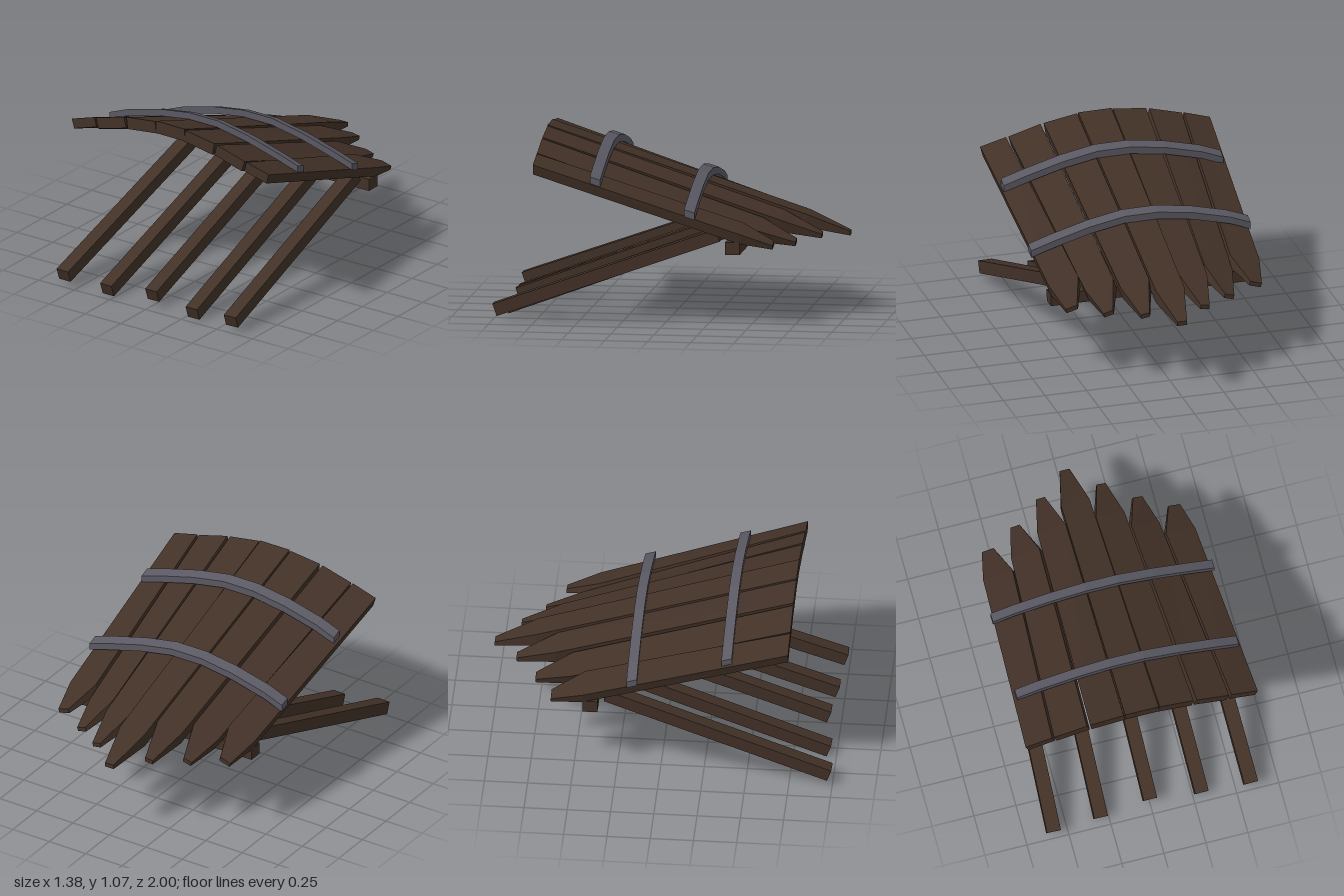
import * as THREE from 'three';

const wood = new THREE.MeshStandardMaterial({ color: 0x423127 });
wood.name = 'dark wood';
const metal = new THREE.MeshStandardMaterial({ color: 0x5a5963 });
metal.name = 'grey metal';

// Joins four-cornered cross-sections into a closed, hard-edged solid
function loft(name, sections, material) {
  const pos = [];
  const quad = (a, b, c, d) => [a, b, c, a, c, d].forEach(p => pos.push(...p));
  for (let s = 0; s < sections.length - 1; s++) {
    const a = sections[s], b = sections[s + 1];
    for (let i = 0; i < 4; i++) {
      const j = (i + 1) % 4;
      quad(a[i], a[j], b[j], b[i]);
    }
  }
  const first = sections[0], last = sections[sections.length - 1];
  quad(first[0], first[3], first[2], first[1]);
  quad(last[0], last[1], last[2], last[3]);
  const geo = new THREE.BufferGeometry();
  geo.setAttribute('position', new THREE.Float32BufferAttribute(pos, 3));
  geo.computeVertexNormals();
  const mesh = new THREE.Mesh(geo, material);
  mesh.name = name;
  return mesh;
}

// Square beam between two points
function beam(name, from, to, width, height) {
  const a = new THREE.Vector3(...from), b = new THREE.Vector3(...to);
  const mesh = new THREE.Mesh(new THREE.BoxGeometry(width, height, a.distanceTo(b)), wood);
  mesh.position.copy(a).add(b).multiplyScalar(0.5);
  mesh.lookAt(a);
  mesh.name = name;
  return mesh;
}

const FRONT = 0.75;

// One plank cross-section, with thickness t square to its sideways tilt
function plankSection(x0, y0, x1, y1, z, t) {
  const len = Math.hypot(x1 - x0, y1 - y0);
  const dx = (y1 - y0) / len * t, dy = -(x1 - x0) / len * t;
  return [[x0, y0, z], [x1, y1, z], [x1 + dx, y1 + dy, z], [x0 + dx, y0 + dy, z]];
}

// Plank with a tapering pointed end
function plank(front, shoulder, tip, slope, t) {
  const [x0, y0, x1, y1] = front;
  const [sx0, sx1, sz] = shoulder;
  const [tx0, tx1, tz] = tip;
  const drop = slope * (FRONT - sz);
  const tipY = (y0 + y1) / 2 - drop - 0.42 * (sz - tz);
  const roll = (y1 - y0) / (x1 - x0) * (tx1 - tx0) / 2;
  return loft('plank', [
    plankSection(x0, y0, x1, y1, FRONT, t),
    plankSection(sx0, y0 - drop, sx1, y1 - drop, sz, t),
    plankSection(tx0, tipY - roll, tx1, tipY + roll, tz, 0.025),
  ], wood);
}

export function createModel() {
  const group = new THREE.Group();

  // Arched deck of seven planks
  const deck = new THREE.Group();
  deck.name = 'plankDeck';
  deck.add(plank([-0.1, 1.07, 0.1, 1.067], [-0.085, 0.085, -0.757], [-0.029, 0.029, -1], 0.325, 0.076));
  // Per pair: left and right front edges, then shoulder, tip, slope, thickness
  const pairs = [
    { r: [-0.308, 1.043, -0.108, 1.065], l: [0.107, 1.062, 0.308, 1.027],
      s: [0.09, 0.26, -0.63], t: [0.155, 0.207, -0.86], k: 0.333, h: 0.073 },
    { r: [-0.523, 0.987, -0.327, 1.039], l: [0.327, 1.024, 0.52, 0.968],
      s: [0.275, 0.442, -0.53], t: [0.338, 0.393, -0.735], k: 0.343, h: 0.068 },
    { r: [-0.692, 0.939, -0.535, 0.987], l: [0.534, 0.967, 0.69, 0.926],
      s: [0.457, 0.632, -0.44], t: [0.522, 0.59, -0.63], k: 0.325, h: 0.06 },
  ];
  for (const { r, l, s, t, k, h } of pairs) {
    deck.add(plank(l, s, t, k, h));
    deck.add(plank(r, [-s[1], -s[0], s[2]], [-t[1], -t[0], t[2]], k, h));
  }
  group.add(deck);

  // Two metal straps bent over the deck
  const arch = [[-0.656, 0.938], [-0.53, 0.987], [-0.31, 1.042], [-0.1, 1.072],
    [0.1, 1.07], [0.31, 1.03], [0.53, 0.968], [0.664, 0.925]];
  for (const z of [0.392, -0.157]) {
    const sections = arch.map(([x, y]) => {
      const at = (dz, up) => [x, y - 0.325 * (FRONT - z - dz) + up, z + dz];
      return [at(-0.03, 0.042), at(0.03, 0.042), at(0.03, 0), at(-0.03, 0)];
    });
    group.add(loft('strap', sections, metal));
  }

  // Five sloping support legs
  const legs = new THREE.Group();
  legs.name = 'legs';
  legs.add(beam('leg', [0, 0.066, 0.933], [0, 0.563, -0.42], 0.08, 0.076));
  for (const side of [-1, 1]) {
    legs.add(beam('leg', [side * 0.3, 0.036, 0.957], [side * 0.275, 0.522, -0.37], 0.08, 0.076));
    legs.add(beam('leg', [side * 0.587, 0.065, 0.983], [side * 0.548, 0.522, -0.31], 0.082, 0.074));
  }
  group.add(legs);

  // Cross beam under the rear ends of the legs
  group.add(beam('crossBeam', [-0.615, 0.462, -0.401], [0.622, 0.453, -0.401], 0.086, 0.072));

  return group;
}
